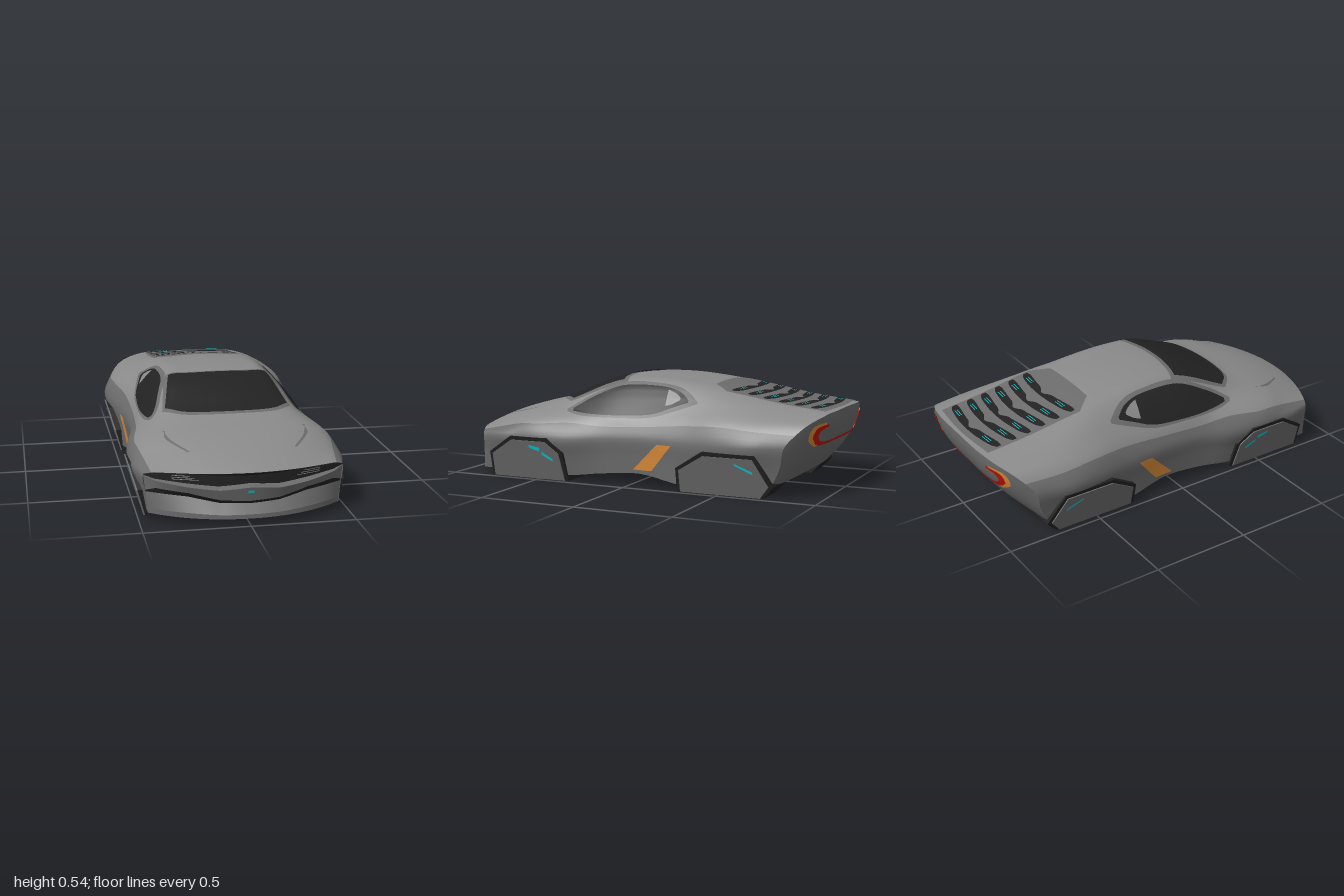
import * as THREE from 'three';

const paint = (name, color) => {
  const m = new THREE.MeshStandardMaterial({ color, side: THREE.DoubleSide });
  m.name = name;
  return m;
};
const { lerp, smoothstep } = THREE.MathUtils;
const V = (x, y, z) => new THREE.Vector3(x, y, z);

// Half cross-sections, nose to tail: z, top | roof edge | belt | shoulder | widest | sill (x, y each)
const STATIONS = [
  [0.83, 0.245, 0.25, 0.243, 0.38, 0.24, 0.44, 0.235, 0.475, 0.22, 0.455, 0.035],
  [0.70, 0.315, 0.25, 0.308, 0.38, 0.29, 0.46, 0.265, 0.508, 0.22, 0.46, 0.035],
  [0.60, 0.358, 0.25, 0.350, 0.38, 0.33, 0.475, 0.285, 0.512, 0.22, 0.46, 0.035],
  [0.50, 0.392, 0.27, 0.378, 0.39, 0.345, 0.48, 0.29, 0.515, 0.22, 0.46, 0.03],
  [0.33, 0.468, 0.29, 0.430, 0.375, 0.36, 0.45, 0.30, 0.498, 0.22, 0.46, 0.03],
  [0.15, 0.525, 0.262, 0.500, 0.40, 0.35, 0.435, 0.29, 0.458, 0.23, 0.44, 0.05],
  [-0.07, 0.535, 0.255, 0.514, 0.40, 0.35, 0.43, 0.30, 0.455, 0.24, 0.44, 0.065],
  [-0.30, 0.520, 0.26, 0.496, 0.385, 0.385, 0.44, 0.32, 0.475, 0.24, 0.46, 0.03],
  [-0.50, 0.485, 0.28, 0.465, 0.40, 0.392, 0.47, 0.33, 0.508, 0.24, 0.46, 0.03],
  [-0.68, 0.432, 0.29, 0.420, 0.42, 0.37, 0.48, 0.32, 0.52, 0.245, 0.47, 0.05],
  [-0.84, 0.405, 0.28, 0.396, 0.40, 0.36, 0.455, 0.31, 0.487, 0.25, 0.46, 0.06],
];

// Bows the nose and tail in plan, and undercuts the tail
function warp(x, y, z) {
  if (z > 0) return V(x, y, z + 0.135 * smoothstep(z, 0.4, 0.83) * Math.max(0, 1 - (x / 0.475) ** 2));
  const t = smoothstep(-z, 0.45, 0.84), q = Math.min(1, (x / 0.5) ** 4);
  return V(x, y, z - t * 0.16 * (1 - q) + t * 1.75 * Math.max(0, 0.405 - y) ** 2 * (1 - 0.6 * q));
}

// Surface through rows of points; pick(r, c) chooses a material index
function grid(rows, pick = () => 0) {
  const n = rows[0].length, buckets = [];
  for (let r = 0; r < rows.length - 1; r++) for (let c = 0; c < n - 1; c++) {
    const a = r * n + c;
    (buckets[pick(r, c)] ??= []).push(a, a + 1, a + n, a + 1, a + n + 1, a + n);
  }
  const g = new THREE.BufferGeometry().setFromPoints(rows.flat());
  g.setIndex(buckets.flat());
  let start = 0;
  buckets.forEach((b, i) => { g.addGroup(start, b.length, i); start += b.length; });
  g.computeVertexNormals();
  return g;
}

// Linear lookup in a short table
function table(keys, vals, k) {
  let i = 0;
  while (i < keys.length - 2 && k > keys[i + 1]) i++;
  return lerp(vals[i], vals[i + 1], (k - keys[i]) / (keys[i + 1] - keys[i]));
}

export function createModel() {
  const car = new THREE.Group();
  car.name = 'car';
  const body = paint('bodyGrey', 0x8a8a8a), lower = paint('lowerGrey', 0x6c6c6c);
  const black = paint('glassBlack', 0x222222), lamp = paint('lampGrey', 0x9c9c9c);
  const red = paint('tailRed', 0xc01000), orange = paint('markerOrange', 0xd88a38);
  const cyan = paint('accentCyan', 0x10c8d0);

  const add = (name, geo, mat) => {
    const m = new THREE.Mesh(geo, mat);
    m.name = name;
    car.add(m);
    return m;
  };

  // Body shell: spline each profile point lengthwise, then each ring crosswise
  const profiles = STATIONS.map(([z, top, rx, ry, bx, by, sx, sy, wx, wy, lx, ly]) => {
    const half = [[rx * 0.55, lerp(top, ry, 0.25)], [rx, ry], [bx, by], [sx, sy], [wx, wy],
      [(wx + lx) / 2, (wy + ly) / 2], [lx, ly]];
    return [...half.map(([x, y]) => V(-x, y, z)).reverse(), V(0, top, z), ...half.map(([x, y]) => V(x, y, z))];
  });
  const lines = profiles[0].map((_, j) => new THREE.CatmullRomCurve3(profiles.map(p => p[j])));
  const N = 50, M = 56;
  const raw = Array.from({ length: N + 1 }, (_, i) =>
    new THREE.CatmullRomCurve3(lines.map(l => l.getPoint(i / N))).getPoints(M));
  const rings = raw.map(r => r.map(p => warp(p.x, p.y, p.z)));
  const solids = [add('bodyShell', grid(rings, (r, c) => (c < 12 || c >= 44 ? 1 : 0)), [body, lower])];

  // Underside
  add('underside', grid(rings.map(r => [r[M], r[0]])), black);

  // Tail panel closes the last ring
  const tail = raw[N].slice(M / 2).map(p =>
    Array.from({ length: 25 }, (_, c) => warp(lerp(-p.x, p.x, c / 24), p.y, -0.84)));
  solids.push(add('tailPanel', grid(tail), lower));

  // Front fascia: recessed grille, lip, dark crease and chin
  const K = [0, 0.3, 0.6, 0.9, 1];
  const fasciaRows = [ // [heights along K, forward offset]
    [[0.243, 0.243, 0.242, 0.236, 0.225], 0],
    [[0.228, 0.230, 0.237, 0.234, 0.222], -0.02],
    [[0.190, 0.178, 0.190, 0.205, 0.220], -0.02],
    [[0.185, 0.173, 0.184, 0.200, 0.218], 0.028],
    [[0.115, 0.122, 0.152, 0.163, 0.148], 0.012],
    [[0.097, 0.103, 0.130, 0.138, 0.140], -0.008],
    [[0.055, 0.055, 0.060, 0.060, 0.060], 0.028],
    [[0.035, 0.035, 0.035, 0.035, 0.035], 0.028],
  ].map(([ys, off]) => Array.from({ length: 41 }, (_, c) => {
    const u = 1 - c / 20, y = table(K, ys, Math.abs(u)), x = u * (0.452 + 0.105 * y);
    return V(x, y, 0.83 + 0.135 * (1 - u * u) + off * (1 - u ** 4));
  }));
  const fasciaMats = [black, black, lower, lower, black, lower, lower];
  const fasciaNames = ['grilleTop', 'grille', 'lipTop', 'frontLip', 'lipCrease', 'chin', 'chinEdge'];
  fasciaMats.forEach((m, i) => solids.push(add(fasciaNames[i], grid([fasciaRows[i], fasciaRows[i + 1]]), m)));
  add('chinFloor', grid([fasciaRows[7], fasciaRows[7].map(p => V(p.x, 0.035, 0.82))]), black);

  // Wheel pods: side outline (z, y) pushed out to the sloping flank
  const pod = (name, mat, pts, s, inner, lift) => {
    const g = new THREE.ExtrudeGeometry(new THREE.Shape(pts.map(p => new THREE.Vector2(...p))),
      { depth: 1, bevelEnabled: false });
    const pos = g.attributes.position;
    for (let i = 0; i < pos.count; i++) {
      const z = pos.getX(i), y = pos.getY(i), flank = 0.462 + 0.27 * y;
      pos.setXYZ(i, s * (pos.getZ(i) > 0.5 ? flank + lift : inner ?? flank), y, z);
    }
    g.computeVertexNormals();
    solids.push(add(name, g, mat));
  };
  const frontArch = [[0.785, 0], [0.78, 0.13], [0.64, 0.222], [0.43, 0.222], [0.345, 0.15], [0.33, 0]];
  const frontCover = [[0.768, 0], [0.762, 0.122], [0.635, 0.203], [0.438, 0.203], [0.365, 0.143], [0.35, 0]];
  const rearArch = [[-0.28, 0], [-0.285, 0.12], [-0.43, 0.212], [-0.7, 0.212], [-0.785, 0.06], [-0.73, 0]];
  const rearCover = [[-0.3, 0], [-0.303, 0.112], [-0.437, 0.193], [-0.69, 0.193], [-0.762, 0.06], [-0.715, 0]];
  for (const s of [1, -1]) {
    pod('frontWheelPod', black, frontArch, s, 0.28, 0);
    pod('frontWheelCover', lower, frontCover, s, undefined, 0.007);
    pod('rearWheelPod', black, rearArch, s, 0.28, 0);
    pod('rearWheelCover', lower, rearCover, s, undefined, 0.007);
  }

  // Thin plate between two edge curves, laid on the solids along one direction
  car.updateMatrixWorld(true);
  const ray = new THREE.Raycaster();
  const views = {
    top: (u, v) => [V(u, 2, v), V(0, -1, 0)],
    left: (u, v) => [V(2, v, u), V(-1, 0, 0)],
    right: (u, v) => [V(-2, v, u), V(1, 0, 0)],
    front: (u, v) => [V(u, v, 2), V(0, 0, -1)],
    back: (u, v) => [V(u, v, -2), V(0, 0, 1)],
  };
  const plate = (name, mat, view, a, b, lift, nv = 4) => {
    const curve = pts => new THREE.SplineCurve(pts.map(p => new THREE.Vector2(...p)));
    const n = (a.length - 1) * 5, A = curve(a).getPoints(n), B = curve(b).getPoints(n);
    let last = V(0, 0.2, 0);
    const rows = Array.from({ length: nv + 1 }, (_, r) => A.map((p, c) => {
      const q = p.clone().lerp(B[c], r / nv);
      const [from, dir] = views[view](q.x, q.y);
      ray.set(from, dir);
      const hit = ray.intersectObjects(solids, false)[0];
      if (hit) last = hit.point.clone().addScaledVector(dir, -lift);
      return last.clone();
    }));
    add(name, grid(rows), mat);
  };
  const flip = pts => pts.map(([u, v]) => [-u, v]);

  // Windscreen with its surround
  plate('windscreenSurround', lower, 'top', [[-0.275, 0.08], [-0.14, 0.115], [0, 0.125], [0.14, 0.115], [0.275, 0.08]],
    [[-0.325, 0.39], [-0.22, 0.475], [0, 0.5], [0.22, 0.475], [0.325, 0.39]], 0.003, 12);
  plate('windscreen', black, 'top', [[-0.255, 0.11], [-0.13, 0.137], [0, 0.145], [0.13, 0.137], [0.255, 0.11]],
    [[-0.31, 0.38], [-0.21, 0.46], [0, 0.485], [0.21, 0.46], [0.31, 0.38]], 0.007, 12);

  // Engine panel with six louvres and lit dashes
  plate('enginePanel', lower, 'top', [[-0.18, -0.37], [0, -0.37], [0.18, -0.37]],
    [[-0.26, -0.46], [0, -0.46], [0.26, -0.46]], 0.003);
  plate('enginePanel', lower, 'top', [[-0.26, -0.46], [0, -0.46], [0.26, -0.46]],
    [[-0.25, -0.965], [0, -0.985], [0.25, -0.965]], 0.003, 20);
  for (const z of [-0.92, -0.835, -0.755, -0.675, -0.595, -0.51]) {
    const X = [-0.24, -0.2, -0.1, -0.05, 0, 0.05, 0.1, 0.2, 0.24];
    const back = [0.01, -0.01, -0.028, -0.032, -0.034, -0.032, -0.028, -0.01, 0.01];
    const fore = [0.032, 0.032, 0.014, 0.006, -0.016, 0.006, 0.014, 0.032, 0.032];
    plate('louvre', black, 'top', X.map((x, i) => [x, z + back[i]]), X.map((x, i) => [x, z + fore[i]]), 0.006);
    for (const s of [1, -1]) for (const d of [-0.006, 0.006])
      plate('louvreLight', cyan, 'top', [[s * 0.12, z + d - 0.004], [s * 0.185, z + d + 0.001]],
        [[s * 0.12, z + d], [s * 0.185, z + d + 0.005]], 0.009, 1);
  }

  for (const s of [1, -1]) {
    const side = s > 0 ? 'left' : 'right', m = pts => (s > 0 ? pts : flip(pts));
    // Side glass, its surround and the quarter insert
    plate('sideWindowSurround', lower, side, [[0.38, 0.362], [0.27, 0.43], [0.1, 0.503], [-0.1, 0.507], [-0.24, 0.485], [-0.34, 0.43]],
      [[0.37, 0.35], [0.27, 0.335], [0.1, 0.335], [-0.1, 0.345], [-0.24, 0.385], [-0.34, 0.42]], 0.004, 10);
    plate('sideWindow', black, side, [[0.345, 0.368], [0.25, 0.425], [0.1, 0.488], [-0.1, 0.494], [-0.22, 0.475], [-0.29, 0.435]],
      [[0.34, 0.355], [0.25, 0.347], [0.1, 0.347], [-0.1, 0.36], [-0.22, 0.4], [-0.29, 0.425]], 0.008, 10);
    plate('quarterInsert', body, side, [[-0.165, 0.48], [-0.21, 0.465], [-0.245, 0.445]],
      [[-0.175, 0.405], [-0.21, 0.415], [-0.245, 0.435]], 0.0115);
    // Orange flank marker and cyan marks on the wheel covers
    plate('flankMarker', orange, side, [[-0.03, 0.085], [-0.17, 0.222]], [[-0.135, 0.085], [-0.25, 0.222]], 0.004);
    plate('frontCoverLight', cyan, side, [[0.53, 0.182], [0.47, 0.172]], [[0.53, 0.168], [0.47, 0.15]], 0.003, 1);
    plate('frontCoverLight', cyan, side, [[0.46, 0.152], [0.4, 0.115]], [[0.46, 0.135], [0.4, 0.1]], 0.003, 1);
    plate('rearCoverLight', cyan, side, [[-0.6, 0.168], [-0.69, 0.132]], [[-0.6, 0.158], [-0.69, 0.118]], 0.003, 1);
    // Bonnet scoop
    plate('bonnetScoop', lower, 'top', m([[0.35, 0.58], [0.32, 0.68], [0.25, 0.79]]),
      m([[0.34, 0.58], [0.345, 0.66], [0.262, 0.79]]), 0.004);
    // Headlight bars
    for (let i = 0; i < 3; i++)
      plate('headlightBar', lamp, 'front', m([[0.23 + i * 0.02, 0.206 + i * 0.009], [0.35, 0.208 + i * 0.009]]),
        m([[0.23 + i * 0.02, 0.209 + i * 0.009], [0.35, 0.211 + i * 0.009]]), 0.003, 1);
    // Tail light hook with an orange outer edge
    plate('tailLight', red, 'back', m([[0, 0.26], [0.2, 0.26], [0.29, 0.268], [0.33, 0.295], [0.315, 0.325], [0.26, 0.337]]),
      m([[0, 0.247], [0.2, 0.247], [0.31, 0.25], [0.365, 0.288], [0.35, 0.338], [0.26, 0.35]]), 0.006);
    plate('tailMarker', orange, 'back', m([[0.31, 0.25], [0.365, 0.288], [0.35, 0.338], [0.28, 0.349]]),
      m([[0.33, 0.243], [0.392, 0.285], [0.375, 0.347], [0.29, 0.36]]), 0.006);
  }
  plate('noseLight', cyan, 'front', [[-0.014, 0.17], [0.014, 0.17]], [[-0.014, 0.157], [0.014, 0.157]], 0.004, 1);
  return car;
}
